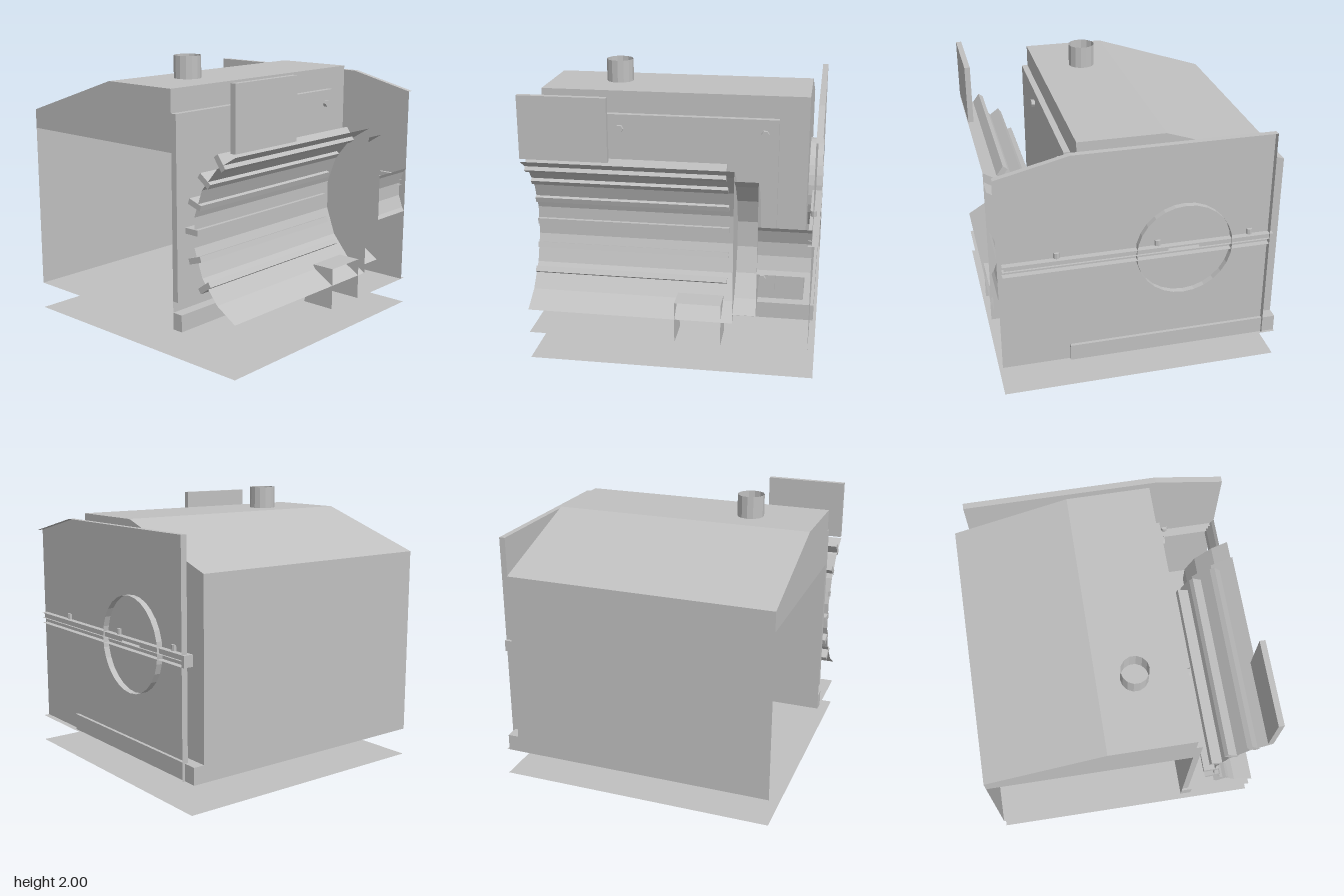
import * as THREE from 'three';

export function createModel() {
  const model = new THREE.Group();
  const grey = new THREE.MeshStandardMaterial({ color: 0xc0c0c0, side: THREE.DoubleSide, flatShading: true });
  grey.name = 'light grey';

  const add = (name, geometry, parent = model) => {
    const mesh = new THREE.Mesh(geometry, grey);
    mesh.name = name;
    parent.add(mesh);
    return mesh;
  };
  const group = (name) => {
    const g = new THREE.Group();
    g.name = name;
    model.add(g);
    return g;
  };
  // Box given by its limits on each axis
  const box = (name, x0, x1, y0, y1, z0, z1, parent) => add(name,
    new THREE.BoxGeometry(x1 - x0, y1 - y0, z1 - z0)
      .translate((x0 + x1) / 2, (y0 + y1) / 2, (z0 + z1) / 2), parent);
  // Thin sheet: a [z, y] line swept along x
  const sweep = (name, line, x0, x1, parent) => {
    const pos = [];
    for (let i = 0; i < line.length - 1; i++) {
      const [za, ya] = line[i], [zb, yb] = line[i + 1];
      pos.push(x0, ya, za, x1, ya, za, x1, yb, zb, x0, ya, za, x1, yb, zb, x0, yb, zb);
    }
    const g = new THREE.BufferGeometry();
    g.setAttribute('position', new THREE.Float32BufferAttribute(pos, 3));
    g.computeVertexNormals();
    return add(name, g, parent);
  };
  // Flat face in a plane of constant x, outlined by [z, y] points
  const face = (name, pts, x, parent) => add(name,
    new THREE.ShapeGeometry(new THREE.Shape(pts.map((p) => new THREE.Vector2(...p))))
      .rotateY(-Math.PI / 2).translate(x, 0, 0), parent);
  const plane = (name, x0, x1, z0, z1, y, parent) =>
    sweep(name, [[z0, y], [z1, y]], x0, x1, parent);

  // Ground sheet and floor
  plane('groundSheet', -1, 1, -1, 1, 0);
  plane('floor', -1, 1, -1, 1, 0.2);

  // Housing: front wall, roof and back in one sweep, with end walls
  const housing = group('housing');
  const profile = [[0.44, 0.2], [0.44, 1.84], [-0.16, 1.84], [-1, 1.56], [-1, 0.2]];
  sweep('housingShell', profile, -1, 0.9, housing);
  face('endWall', profile, 0.9, housing);
  face('upperEndPanel', [[0.44, 1.42], [0.44, 1.84], [-0.16, 1.84], [-1, 1.56], [-1, 1.42]], -1, housing);
  box('frontPlinth', -1, 0.98, 0.2, 0.32, 0.44, 0.52, housing);
  box('sidePlinth', 0.9, 0.98, 0.2, 0.32, -1, 0.52, housing);

  // Chimney
  add('chimney', new THREE.CylinderGeometry(0.097, 0.097, 0.16, 14, 1, true).translate(-0.5, 1.92, 0.1));

  // Bolted front panel
  const panel = group('frontPanel');
  box('panelPlate', -1, 0.695, 0.4, 1.68, 0.44, 0.485, panel);
  for (const x of [-0.43, 0.6]) for (const y of [0.5, 1.58]) {
    add('panelBolt', new THREE.CylinderGeometry(0.028, 0.028, 0.03, 6)
      .rotateZ(Math.PI / 2).rotateY(Math.PI / 2).translate(x, y, 0.497), panel);
  }

  // Upright board at the front
  box('uprightBoard', -1, -0.4, 1.485, 1.92, 0.96, 1);

  // Side plate with outward flange along its top and back
  const side = group('sidePlate');
  const edge = [[1, 1.68], [0.5, 1.8], [-0.9, 1.8], [-0.9, 0.2]];
  face('plate', [[1, 0.2], ...edge], 0.957, side);
  sweep('flange', edge, 0.957, 1, side);

  // Ring around the side plate
  add('ring', new THREE.CylinderGeometry(0.34, 0.34, 0.1, 28, 1, true)
    .rotateZ(Math.PI / 2).translate(0.95, 1, -0.285), side);

  // Rails with bolts
  for (const y of [0.96, 1, 1.04]) plane('railShelf', 0.93, 1, -0.92, 0.97, y, side);
  for (const [z0, z1] of [[-0.17, 0.96], [-0.92, -0.39]]) {
    face('railWeb', [[z0, 1], [z0, 1.04], [z1, 1.04], [z1, 1]], 0.985, side);
  }
  box('railEnd', 0.93, 1, 0.96, 1.04, -0.925, -0.9, side);
  for (const z of [0.6, -0.1, -0.76]) {
    add('railBolt', new THREE.CylinderGeometry(0.022, 0.022, 0.04, 8).translate(0.955, 1.06, z), side);
  }

  // Drum: concentric troughs about one axis, cut off at z = 1
  const drum = group('drum');
  const axisY = 0.92, axisZ = 1.225;
  const arc = (r) => {
    const end = Math.acos((axisZ - 1) / r);
    const inner = [-50, -30, -10, 10, 30, 50].map((d) => d * Math.PI / 180).filter((a) => Math.abs(a) < end);
    return [-end, ...inner, end].map((a) => [axisZ - r * Math.cos(a), axisY + r * Math.sin(a)]);
  };
  sweep('drumShell', arc(0.589), -1, 0.44, drum);
  face('drumEnd', arc(0.589), 0.44, drum);
  sweep('endBell', arc(0.528), 0.44, 0.6, drum);
  face('bellEnd', arc(0.528), 0.6, drum);
  sweep('shaft', arc(0.281), 0.6, 0.957, drum);

  // Radial ribs through the drum shell
  for (let i = -2; i <= 3; i++) {
    const rib = add('rib', new THREE.BoxGeometry(1.376, 0.04, 0.11).translate(-0.312, 0, -0.608), drum);
    rib.position.set(0, axisY, axisZ);
    rib.rotation.x = i * Math.PI / 10;
  }

  // Open foot under the drum
  const foot = group('foot');
  sweep('footTop', [[0.83, 0.5], [1, 0.5]], 0.04, 0.36, foot);
  for (const x of [0.04, 0.36]) face('footSide', [[0.75, 0.2], [0.83, 0.5], [1, 0.5], [1, 0.2]], x, foot);

  return model;
}
